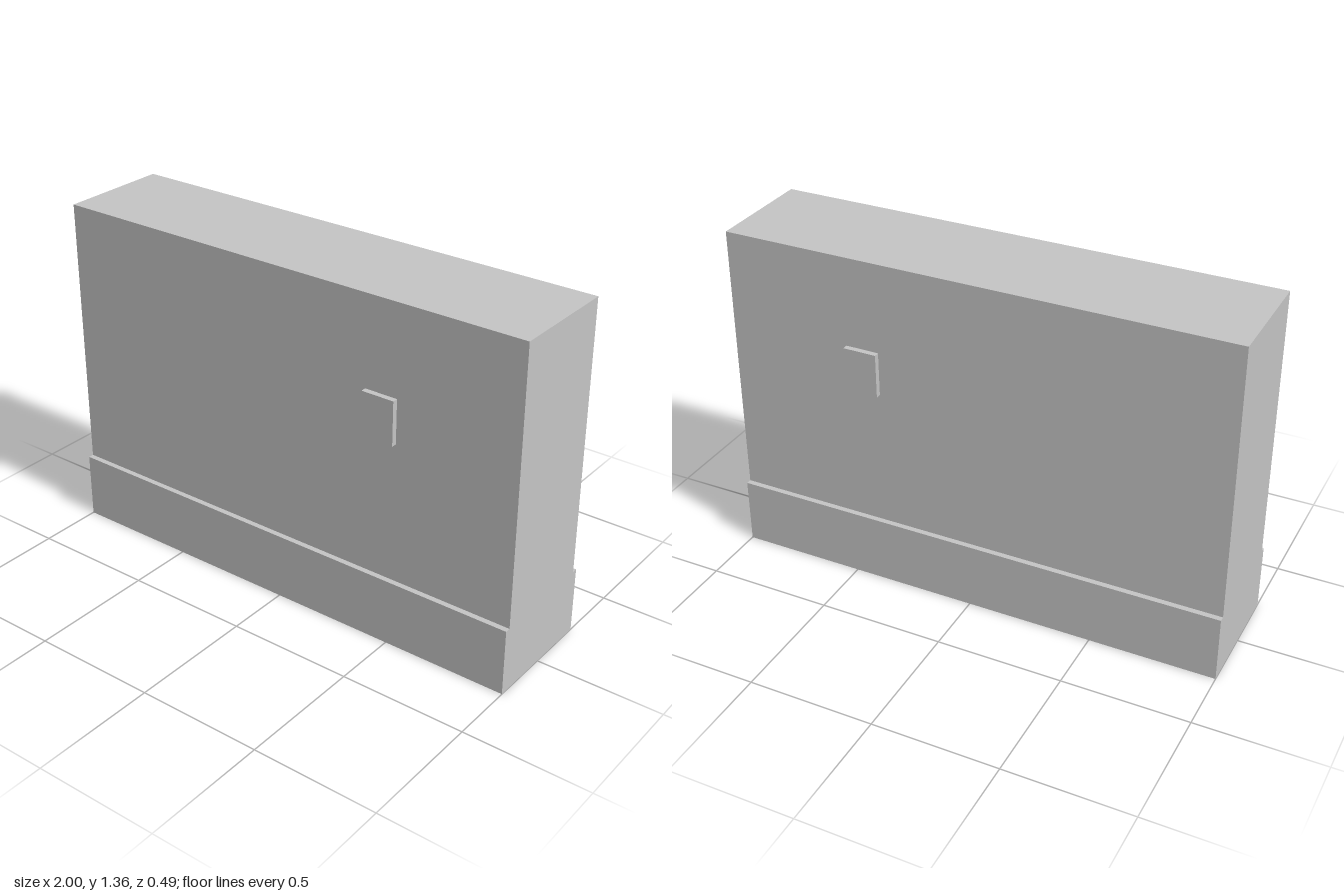
import * as THREE from 'three';

const WIDTH = 2, HEIGHT = 1.358, WALL_Z = 0.221, TRIM = 0.022;

export function createModel() {
  const model = new THREE.Group();
  model.name = 'wallSection';

  const paint = new THREE.MeshStandardMaterial({ color: 0xc4c4c4 });
  paint.name = 'light grey paint';

  // Box placed by its centre x, bottom y and centre z
  const addBox = (name, w, h, d, x, y, z) => {
    const mesh = new THREE.Mesh(new THREE.BoxGeometry(w, h, d), paint);
    mesh.name = name;
    mesh.position.set(x, y + h / 2, z);
    model.add(mesh);
  };

  // Wall slab
  addBox('wall', WIDTH, HEIGHT, WALL_Z * 2, 0, 0, 0);

  // Baseboard and switch plate on both faces of the wall
  for (const [side, s] of [['front', 1], ['back', -1]]) {
    const z = s * (WALL_Z + TRIM / 2);
    addBox(side + 'Baseboard', WIDTH, 0.267, TRIM, 0, 0, z);
    addBox(side + 'SwitchPlate', 0.133, 0.175, TRIM, 0.441, 0.826, z);
  }

  return model;
}
